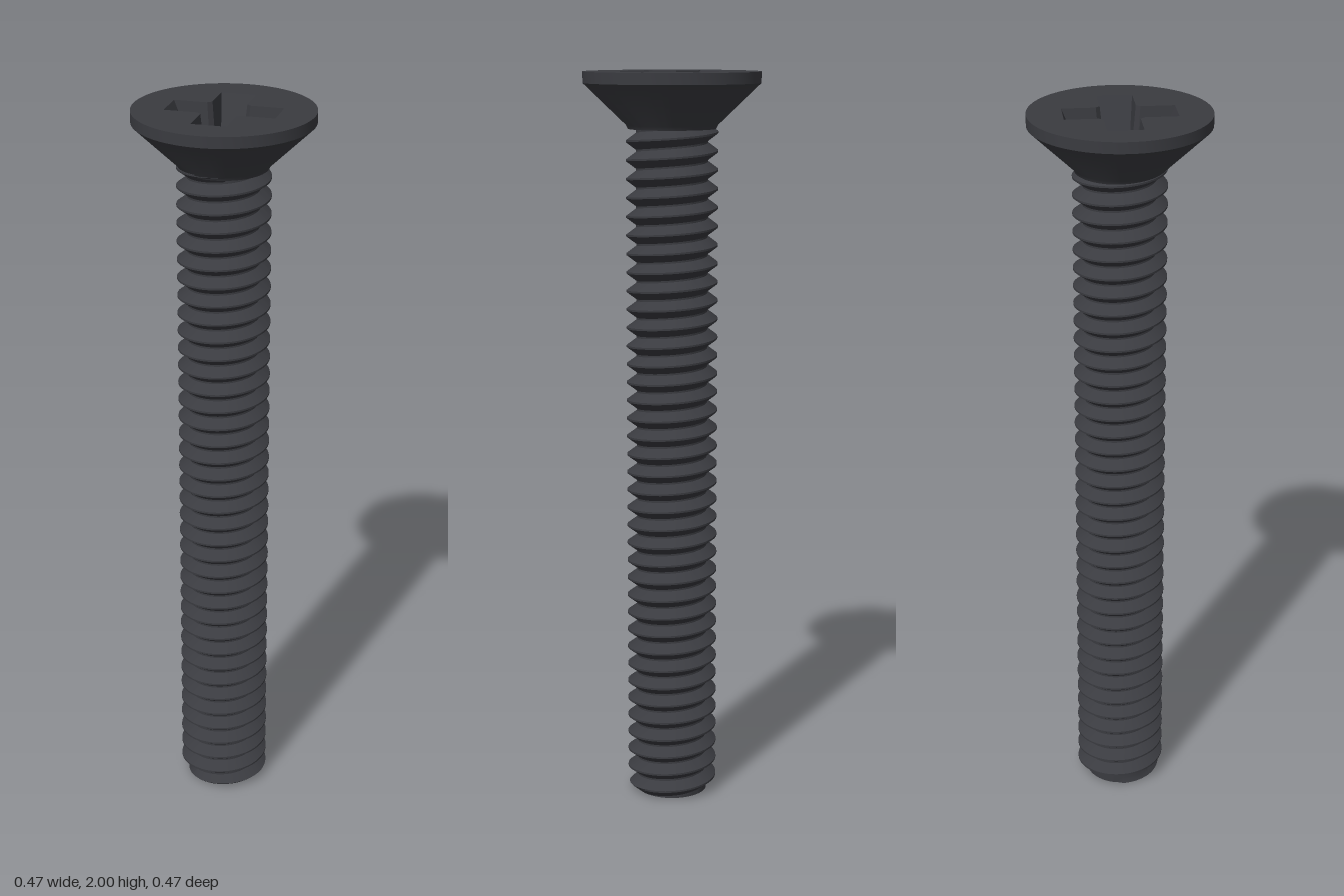
import * as THREE from 'three';
import { toCreasedNormals } from 'three/addons/utils/BufferGeometryUtils.js';

const HEAD_R = 0.237, ROOT_R = 0.096, CREST_R = 0.123;
const PITCH = 0.05, SHAFT_TOP = 1.86, FLOOR_Y = 1.88, DIMPLE_R = 0.056;

const material = new THREE.MeshStandardMaterial({ color: 0x3a3b40 });

function addMesh(group, name, geometry, crease = 0.5) {
  const mesh = new THREE.Mesh(toCreasedNormals(geometry, crease), material);
  mesh.name = name;
  group.add(mesh);
}

const lathe = (points, segments = 80) =>
  new THREE.LatheGeometry(points.map(([r, y]) => new THREE.Vector2(r, y)), segments);

// Cross outline, counter-clockwise: arm half-width, arm length, inner corner chamfer
function crossOutline(w, length, c) {
  const arm = [[length, -w], [length, w], [c, w], [w, c]];
  const points = [];
  for (let i = 0; i < 4; i++) {
    for (const [x, y] of arm) {
      points.push(new THREE.Vector2(x, y).rotateAround(new THREE.Vector2(), i * Math.PI / 2));
    }
  }
  return points;
}

// Flat horizontal face with a hole
function flatFace(shape, hole, y) {
  shape.holes.push(hole);
  return new THREE.ShapeGeometry(shape, 80).rotateX(-Math.PI / 2).translate(0, y, 0);
}

// Sloping walls between an upper and a lower outline, facing inwards
function recessWalls(upper, lower, yTop, yBottom) {
  const positions = [], index = [], n = upper.length;
  upper.forEach((p) => positions.push(p.x, yTop, -p.y));
  lower.forEach((p) => positions.push(p.x, yBottom, -p.y));
  for (let i = 0; i < n; i++) {
    const j = (i + 1) % n;
    index.push(i, j, n + i, j, n + j, n + i);
  }
  const geometry = new THREE.BufferGeometry();
  geometry.setAttribute('position', new THREE.Float32BufferAttribute(positions, 3));
  geometry.setIndex(index);
  geometry.computeVertexNormals();
  return geometry;
}

// Right-handed helical thread: a grid wrapped round the axis, rising one pitch per turn
function threadGeometry() {
  const profile = [[0, ROOT_R], [0.1, ROOT_R], [0.5, CREST_R], [0.6, CREST_R]];
  const turns = Math.ceil(SHAFT_TOP / PITCH) + 3;
  const geometry = new THREE.PlaneGeometry(1, 1, 64, turns * profile.length);
  const position = geometry.attributes.position, uv = geometry.attributes.uv;
  for (let i = 0; i < position.count; i++) {
    const u = uv.getX(i);
    const row = Math.round(uv.getY(i) * turns * profile.length);
    const [phase, radius] = profile[row % profile.length];
    const turn = Math.floor(row / profile.length) - 2;
    const y = PITCH * (turn + phase + u + 0.65);
    const yClamped = THREE.MathUtils.clamp(y, 0, SHAFT_TOP);
    // Chamfer the thread where it starts at the tip
    const r = y === yClamped ? Math.min(radius, ROOT_R + 0.004 + y) : ROOT_R;
    const angle = u * Math.PI * 2;
    position.setXYZ(i, r * Math.sin(angle), yClamped, r * Math.cos(angle));
  }
  return geometry;
}

export function createModel() {
  const model = new THREE.Group();
  model.name = 'countersunkScrew';

  // Head: underside, cone and rim
  const head = new THREE.Group();
  head.name = 'head';
  model.add(head);
  addMesh(head, 'headCone', lathe([
    [0.085, 1.85], [0.117, 1.85], [0.122, 1.86], [HEAD_R, 1.97], [HEAD_R, 2],
  ]));

  // Head top with its cross-shaped opening
  const upper = crossOutline(0.046, 0.145, 0.057);
  const lower = crossOutline(0.034, 0.094, 0.046);
  const disc = new THREE.Shape().absarc(0, 0, HEAD_R, 0, Math.PI * 2);
  addMesh(head, 'headTop', flatFace(disc, new THREE.Path(upper), 2));

  // Recess: sloping walls, floor and conical dimple
  addMesh(head, 'recessWalls', recessWalls(upper, lower, 2, FLOOR_Y), 0.2);
  const dimpleEdge = new THREE.Path().absarc(0, 0, DIMPLE_R, 0, Math.PI * 2);
  addMesh(head, 'recessFloor', flatFace(new THREE.Shape(lower), dimpleEdge, FLOOR_Y));
  addMesh(head, 'recessDimple', lathe([[DIMPLE_R, FLOOR_Y], [0, FLOOR_Y - 0.02]]));

  // Threaded shaft and its flat tip
  addMesh(model, 'threadedShaft', threadGeometry());
  addMesh(model, 'tip', new THREE.CircleGeometry(ROOT_R + 0.004, 64).rotateX(Math.PI / 2));

  return model;
}
